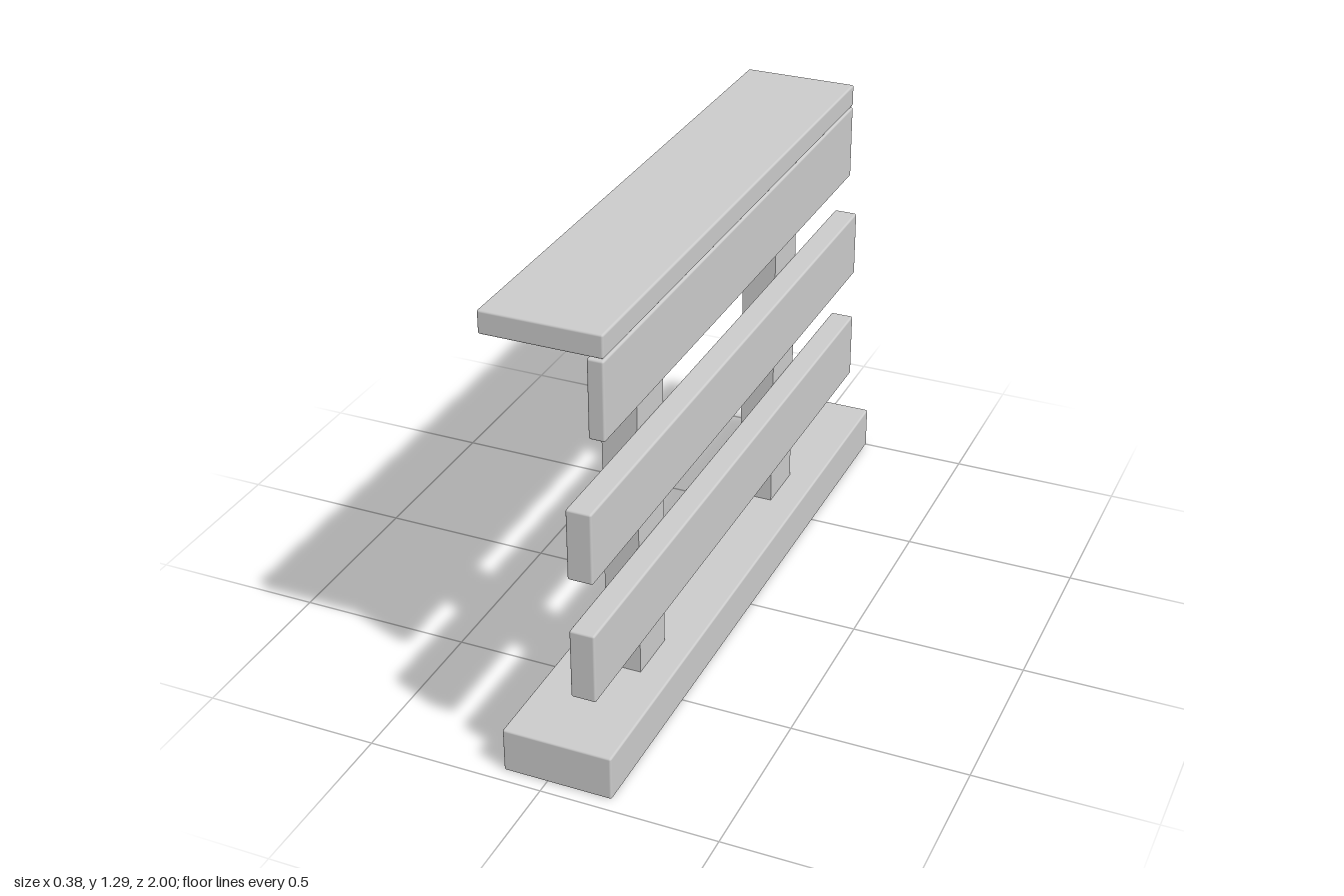
import * as THREE from 'three';
import { RoundedBoxGeometry } from 'three/addons/geometries/RoundedBoxGeometry.js';

const material = new THREE.MeshStandardMaterial({ color: 0xcccccc });

// Board spanning the given [min, max] ranges, with slightly eased edges
function board(name, [x0, x1], [y0, y1], [z0, z1], radius = 0.006) {
  const size = [x1 - x0, y1 - y0, z1 - z0];
  const geometry = radius
    ? new RoundedBoxGeometry(...size, 2, radius)
    : new THREE.BoxGeometry(...size);
  const mesh = new THREE.Mesh(geometry, material);
  mesh.name = name;
  mesh.position.set((x0 + x1) / 2, (y0 + y1) / 2, (z0 + z1) / 2);
  return mesh;
}

export function createModel() {
  const group = new THREE.Group();
  group.name = 'railing';

  // Base beam and flat cap board
  group.add(board('baseBeam', [-0.125, 0.185], [0, 0.13], [-1, 0.96]));
  group.add(board('capBoard', [-0.19, 0.143], [1.225, 1.29], [-0.865, 0.865]));

  // Square-edged posts between base and cap
  group.add(board('frontPost', [0, 0.1], [0.125, 1.23], [0.43, 0.59], 0));
  group.add(board('backPost', [0, 0.1], [0.125, 1.23], [-0.52, -0.36], 0));

  // Thin fascia under the cap, and two thicker rails running past it
  group.add(board('upperRail', [0.098, 0.143], [1, 1.22], [-0.865, 0.865]));
  group.add(board('middleRail', [0.098, 0.167], [0.68, 0.88], [-0.865, 1]));
  group.add(board('lowerRail', [0.098, 0.167], [0.33, 0.53], [-0.865, 1]));

  return group;
}
